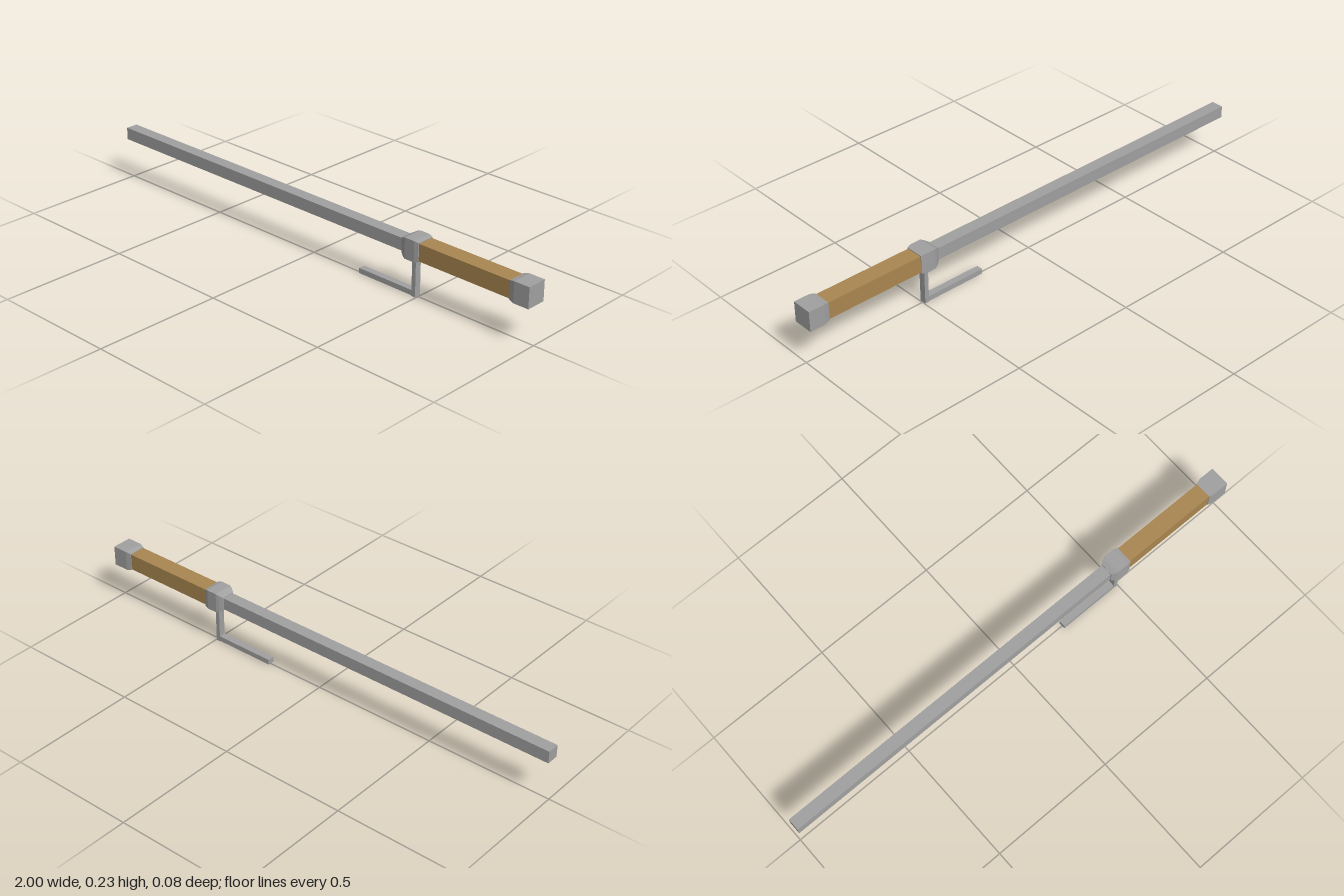
import * as THREE from 'three';

const AXIS_Y = 0.189;

export function createModel() {
  const model = new THREE.Group();
  const steel = new THREE.MeshStandardMaterial({ color: 0xa0a0a0 });
  steel.name = 'grey steel';
  const wood = new THREE.MeshStandardMaterial({ color: 0xa98650 });
  wood.name = 'tan grip';

  const add = (name, geometry, material) => {
    const mesh = new THREE.Mesh(geometry, material);
    mesh.name = name;
    model.add(mesh);
  };

  // Axis-aligned bar given by its limits
  const bar = (name, x0, x1, y0, y1, halfZ, material) => {
    const g = new THREE.BoxGeometry(x1 - x0, y1 - y0, halfZ * 2);
    g.translate((x0 + x1) / 2, (y0 + y1) / 2, 0);
    add(name, g, material);
  };

  // Square fitting along x, from [x, half width] sections, flat faces and closed ends
  const fitting = (name, sections, material) => {
    const pos = [];
    const ring = ([x, h]) => [[1, 1], [-1, 1], [-1, -1], [1, -1]]
      .map(([y, z]) => [x, AXIS_Y + y * h, z * h]);
    const quad = (a, b, c, d) => pos.push(...a, ...b, ...c, ...a, ...c, ...d);
    const rings = sections.map(ring);
    for (let i = 0; i < rings.length - 1; i++) {
      for (let k = 0; k < 4; k++) {
        const n = (k + 1) % 4;
        quad(rings[i][k], rings[i][n], rings[i + 1][n], rings[i + 1][k]);
      }
    }
    const [a, b, c, d] = rings[0];
    quad(a, d, c, b);
    quad(...rings[rings.length - 1]);
    const g = new THREE.BufferGeometry();
    g.setAttribute('position', new THREE.Float32BufferAttribute(pos, 3));
    g.computeVertexNormals();
    add(name, g, material);
  };

  // Long square shaft and grip
  bar('shaft', -1, 0.46, AXIS_Y - 0.024, AXIS_Y + 0.024, 0.024, steel);
  bar('grip', 0.51, 0.93, AXIS_Y - 0.033, AXIS_Y + 0.033, 0.033, wood);

  // Bevelled collar and end cap
  fitting('collar', [[0.442, 0.027], [0.457, 0.036], [0.468, 0.04], [0.51, 0.04], [0.526, 0.036]], steel);
  fitting('endCap', [[0.917, 0.035], [0.938, 0.04], [1, 0.04]], steel);

  // L-shaped side prong
  bar('prongStem', 0.48, 0.497, 0, 0.16, 0.013, steel);
  bar('prongArm', 0.235, 0.48, 0.003, 0.023, 0.013, steel);
  return model;
}
